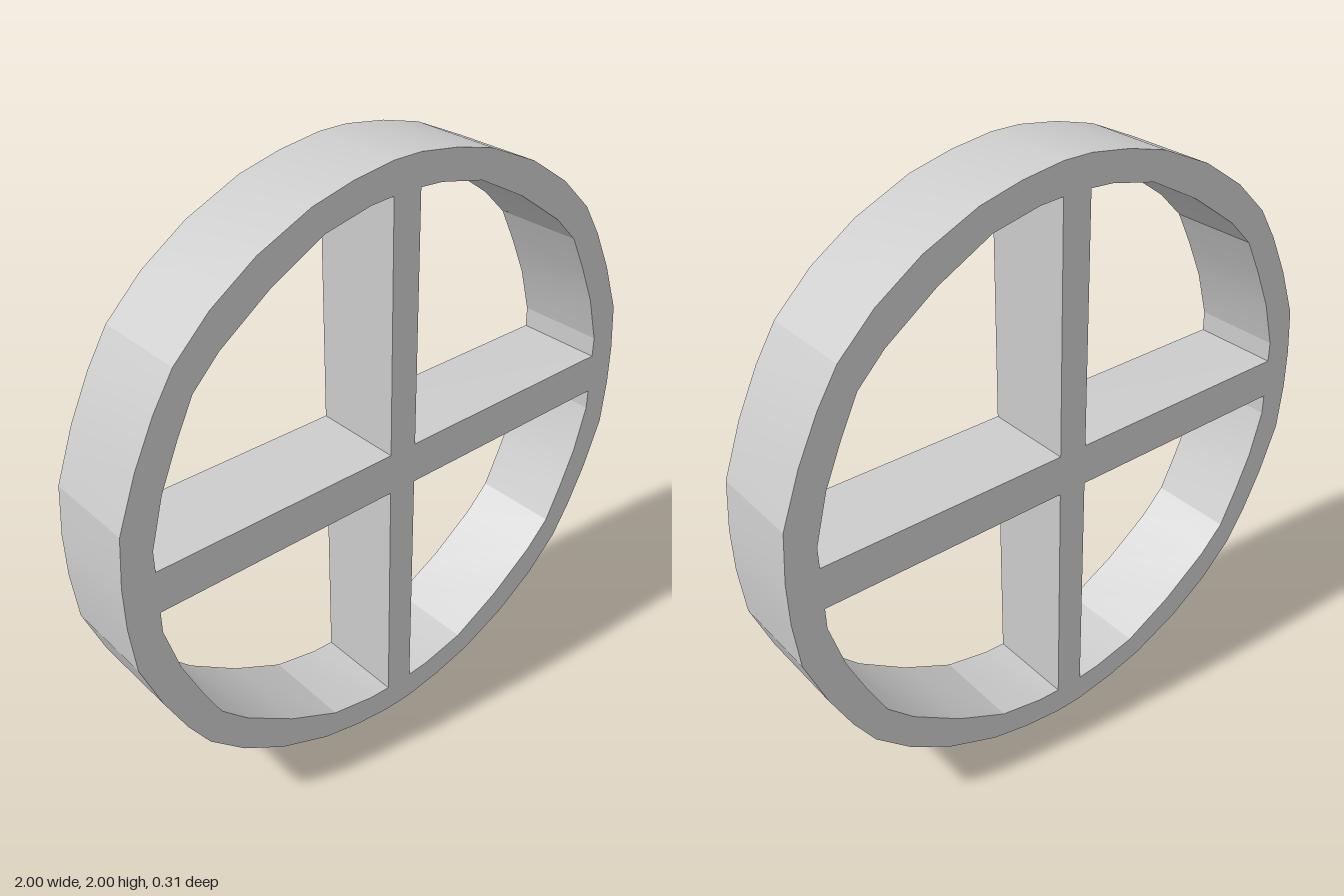
import * as THREE from 'three';
import { toCreasedNormals } from 'three/addons/utils/BufferGeometryUtils.js';

const DEPTH = 0.31;
const CREASE = THREE.MathUtils.degToRad(12);

// One quarter of the rim outline and of a window between spokes, top to side
const OUTER = [[0.05, 1], [0.19, 0.98], [0.33, 0.945], [0.51, 0.865], [0.66, 0.765],
  [0.78, 0.65], [0.85, 0.54], [0.92, 0.4], [0.985, 0.23], [1, 0.07]];
const WINDOW = [[0.05, 0.9], [0.13, 0.895], [0.29, 0.86], [0.47, 0.765], [0.64, 0.645],
  [0.73, 0.555], [0.79, 0.436], [0.85, 0.3], [0.895, 0.14], [0.895, 0.07], [0.05, 0.07]];

// Quadrants in clockwise order from the upper right
const QUADRANTS = [[1, 1], [1, -1], [-1, -1], [-1, 1]];

// Mirror a quarter profile, reversing it where needed to stay clockwise
function mirrored(points, [sx, sy]) {
  const out = points.map(([x, y]) => new THREE.Vector2(x * sx, y * sy));
  return sx * sy < 0 ? out.reverse() : out;
}

export function createModel() {
  const group = new THREE.Group();
  group.name = 'spokedWheel';

  // Rim and its four crossed spokes, cut from one slab; windows wind against the rim
  const shape = new THREE.Shape(QUADRANTS.flatMap((q) => mirrored(OUTER, q)));
  for (const q of QUADRANTS) shape.holes.push(new THREE.Path(mirrored(WINDOW, q).reverse()));
  const geometry = new THREE.ExtrudeGeometry(shape, { depth: DEPTH, bevelEnabled: false });
  geometry.translate(0, 1, -DEPTH / 2);

  const wheel = new THREE.Mesh(toCreasedNormals(geometry, CREASE),
    new THREE.MeshStandardMaterial({ color: 0xcccccc }));
  wheel.name = 'rimAndSpokes';
  group.add(wheel);
  return group;
}
